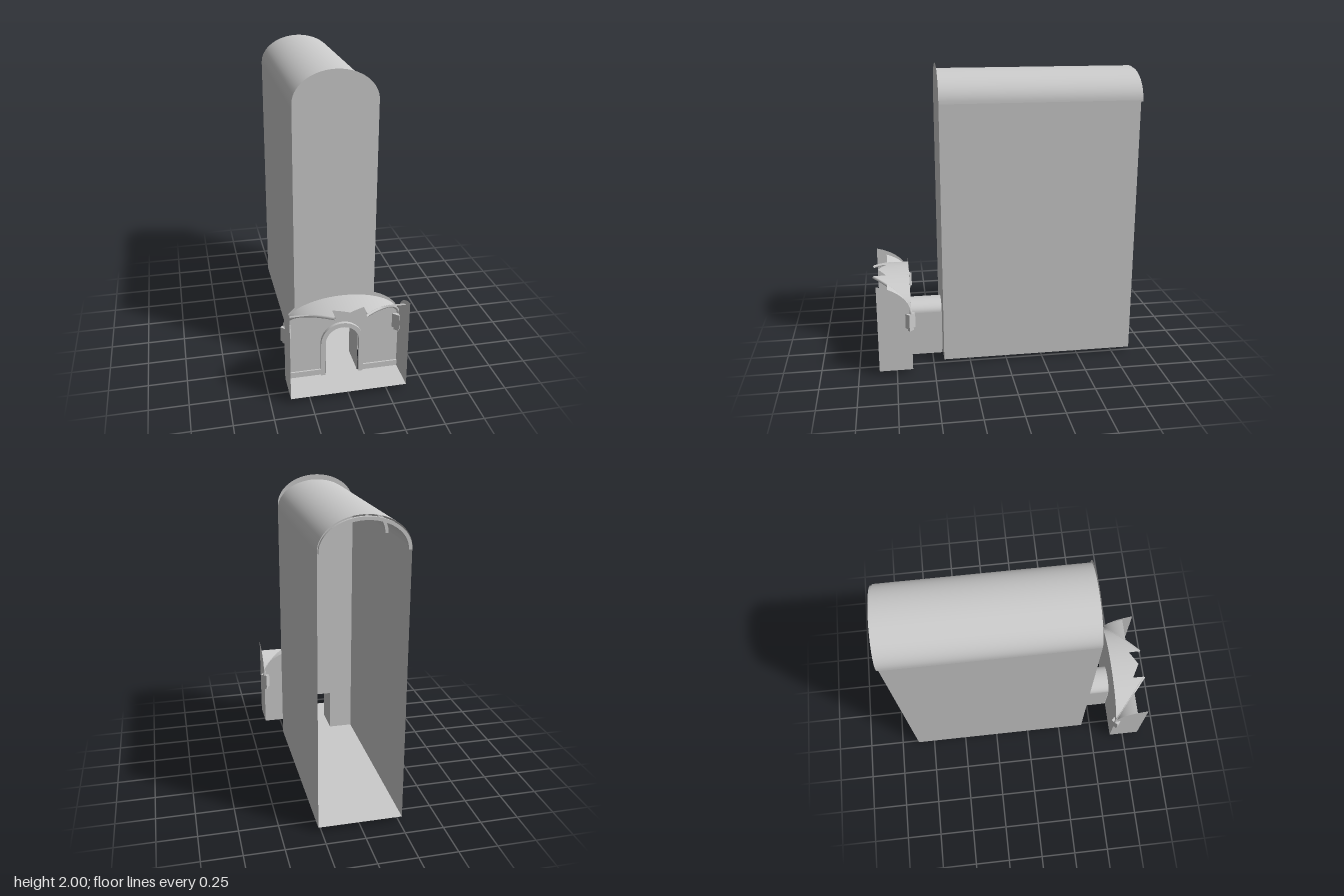
import * as THREE from 'three';

const material = new THREE.MeshStandardMaterial({ color: 0xcccccc, side: THREE.DoubleSide });

function add(parent, name, geometry, x = 0, y = 0, z = 0) {
  const mesh = new THREE.Mesh(geometry, material);
  mesh.name = name;
  mesh.position.set(x, y, z);
  parent.add(mesh);
  return mesh;
}

// Open sheet from a rule: f(u, v) -> [x, y, z]
function sheet(f, nu, nv = 1) {
  const g = new THREE.PlaneGeometry(1, 1, nu, nv);
  const p = g.attributes.position;
  for (let i = 0; i < p.count; i++) p.setXYZ(i, ...f(p.getX(i) + 0.5, 0.5 - p.getY(i)));
  g.computeVertexNormals();
  return g;
}

// Thin wall with an elliptical head and a doorway notch in its base
function archedWall(w, base, spring, rise, doorW, doorSpring, doorRise) {
  const s = new THREE.Shape();
  s.moveTo(-w, base);
  s.lineTo(-doorW, base);
  s.lineTo(-doorW, doorSpring);
  if (doorRise) s.absellipse(0, doorSpring, doorW, doorRise, Math.PI, 0, true);
  else s.lineTo(doorW, doorSpring);
  s.lineTo(doorW, base);
  s.lineTo(w, base);
  s.lineTo(w, spring);
  s.absellipse(0, spring, w, rise, 0, Math.PI, false);
  return new THREE.ShapeGeometry(s, 32);
}

// Arch band of thickness t with optional straight legs down to base
function archBand(w, spring, rise, t, base, depth) {
  const s = new THREE.Shape();
  s.moveTo(w, base);
  s.lineTo(w, spring);
  s.absellipse(0, spring, w, rise, 0, Math.PI, false);
  s.lineTo(-w, base);
  s.lineTo(-w + t, base);
  s.lineTo(-w + t, spring);
  s.absellipse(0, spring, w - t, rise - t, Math.PI, 0, true);
  s.lineTo(w - t, base);
  return new THREE.ExtrudeGeometry(s, { depth, bevelEnabled: false, curveSegments: 24 });
}

// Walls and barrel vault running along z
function passage(parent, name, w, base, spring, rise, z0, z1) {
  add(parent, name + 'Vault', sheet((u, v) => [
    -w * Math.cos(Math.PI * u), spring + rise * Math.sin(Math.PI * u), z0 + (z1 - z0) * v], 32));
  for (const s of [-1, 1]) {
    add(parent, name + 'SideWall', sheet((u, v) => [s * w, base + (spring - base) * u, z0 + (z1 - z0) * v], 1));
  }
}

function floor(parent, name, w, y, z0, z1) {
  add(parent, name, sheet((u, v) => [w * (2 * u - 1), y, z0 + (z1 - z0) * v], 1));
}

export function createModel() {
  const model = new THREE.Group();
  const BASE = 0.03;

  // Tall hall, open at the back
  const hall = new THREE.Group();
  hall.name = 'hall';
  model.add(hall);
  passage(hall, 'hall', 0.27, BASE, 1.77, 0.195, -0.87, 0.43);
  floor(hall, 'hallFloor', 0.27, BASE, -0.87, 0.43);
  add(hall, 'hallFrontWall', archedWall(0.27, BASE, 1.8, 0.2, 0.105, 0.32, 0), 0, 0, 0.43);
  for (const z of [-0.885, -0.445, -0.01]) {
    add(hall, 'hallRib', archBand(0.265, 1.765, 0.19, 0.02, 1.76, 0.02), 0, 0, z);
  }

  // Low link between hall and front bay
  const link = new THREE.Group();
  link.name = 'corridor';
  model.add(link);
  passage(link, 'corridor', 0.105, 0, 0.31, 0.07, 0.43, 0.645);
  floor(link, 'corridorFloor', 0.105, BASE, 0.43, 0.645);

  // Broken front bay
  const bay = new THREE.Group();
  bay.name = 'frontBay';
  model.add(bay);
  const W = 0.375, ZB = 0.645, ZF = 0.865, D = 0.325, SPRING = 0.43;
  const arc = (t, rise) => SPRING + rise * Math.sqrt(Math.max(0, 1 - t * t));
  floor(bay, 'bayFloor', W, BASE, ZB, ZF);
  add(bay, 'bayBackWall', archedWall(W, BASE, SPRING, 0.21, 0.11, 0.27, 0.11), 0, 0, ZB);
  add(bay, 'doorFrame', archBand(0.14, 0.27, 0.14, 0.03, BASE, 0.02), 0, 0, ZB);

  // Rear web of the groin vault with its jagged broken edge
  const webEdge = (x) => x < 0.1 ? 0.855 - 0.55 * x : ZB + (W - x) * D / W;
  for (const s of [-1, 1]) {
    for (const [a, b] of [[0, 0.0999], [0.1, W]]) {
      add(bay, 'rearVaultWeb', sheet((u, v) => {
        const x = b + (a - b) * Math.cos(u * Math.PI / 2);
        return [s * x, arc(x / W, 0.175), ZB + (webEdge(x) - ZB) * v];
      }, 20, 2));
    }

    // Side web, curved the other way and cut short
    add(bay, 'sideVaultWeb', sheet((u, v) => {
      const t = 0.15 * u * u;
      return [s * (W - t * W / D * v), arc(1 - t / D, 0.175), ZB + t];
    }, 16));

    // Side wall with a half-arch top
    add(bay, 'baySideWall', sheet((u, v) => {
      const t = (ZF - ZB) * u * u;
      return [s * W, BASE + (arc(1 - t / D, 0.21) - BASE) * v, ZB + t];
    }, 20));

    // Diagonal rib under the groin
    const pts = [];
    for (let i = 0; i <= 14; i++) {
      const k = 1 - 0.73 * (i / 14) ** 2;
      pts.push(new THREE.Vector3(s * W * k, arc(k, 0.175) - 0.008, ZB + D * (1 - k)));
    }
    add(bay, 'diagonalRib', new THREE.TubeGeometry(new THREE.CatmullRomCurve3(pts), 28, 0.01, 6));

    // Corner corbel and its foot, turned to the diagonal
    const corbel = new THREE.Group();
    corbel.name = 'corbel';
    corbel.position.set(s * 0.367, 0, 0.653);
    corbel.rotation.y = s * Math.PI / 4;
    add(corbel, 'corbelBlock', new THREE.BoxGeometry(0.04, 0.1, 0.055), 0, 0.38, 0);
    add(corbel, 'corbelFoot', new THREE.BoxGeometry(0.025, 0.02, 0.035), 0, 0.32, 0);
    bay.add(corbel);

    // Skirting beside the door
    add(bay, 'skirting', new THREE.BoxGeometry(W - 0.14, 0.04, 0.01), s * (W + 0.14) / 2, 0.05, ZB + 0.005);
  }
  return model;
}
